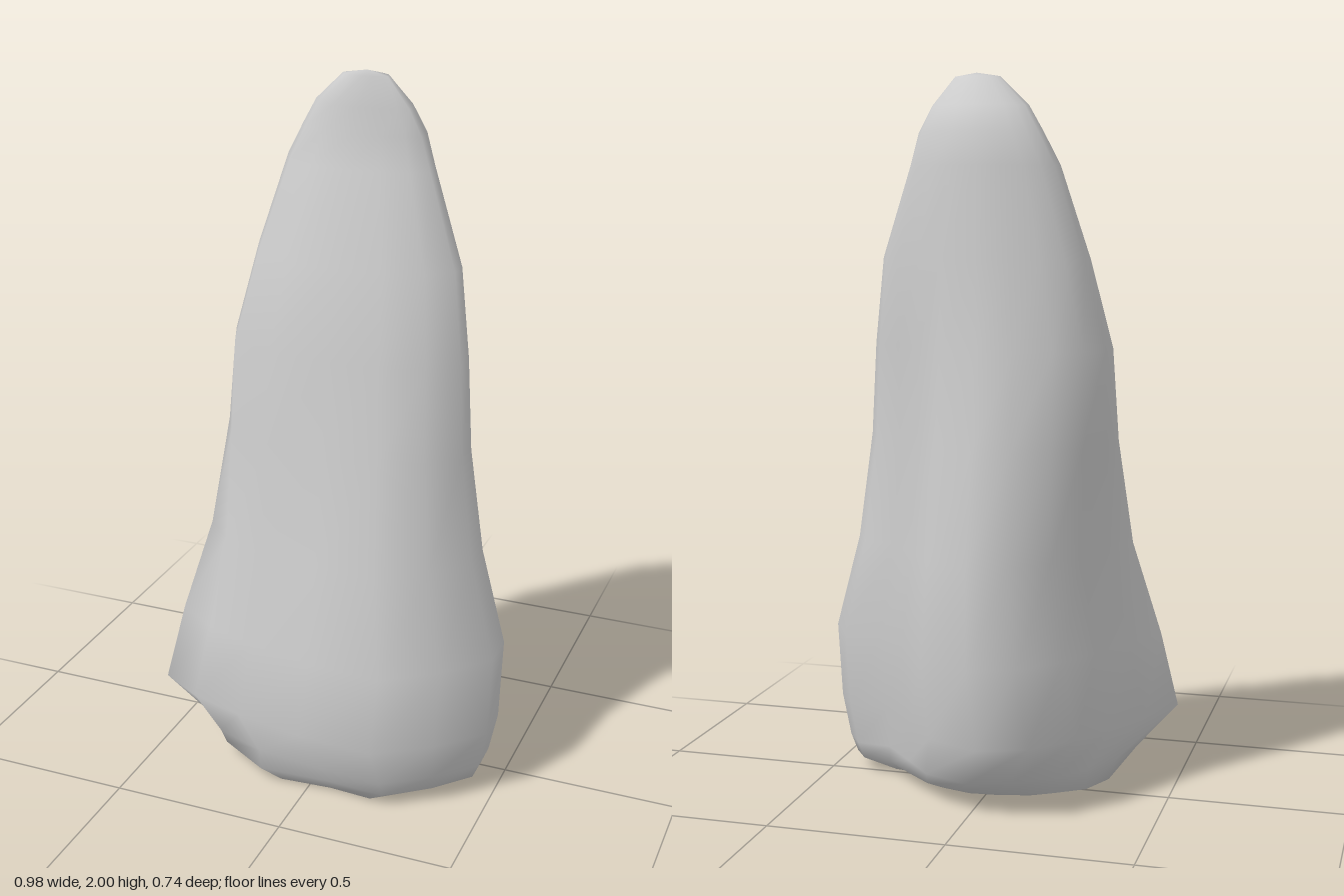
import * as THREE from 'three';

// Base outline: u = sideways fraction, w = fraction towards front (+) or back (-).
const OUTLINE = [
  [-1, 0], [-0.74, 0.47], [-0.41, 0.75], [0, 0.95], [0.45, 1], [0.76, 0.62],
  [1, 0.2], [1, -0.12], [0.88, -0.33], [0.64, -0.37], [0.42, -0.64], [0.23, -0.87],
  [-0.08, -1], [-0.35, -0.91], [-0.57, -0.7], [-0.71, -0.49], [-0.86, -0.26],
];

// Levels: y, xMin, xMax, zFront, zBack, z of the -x edge, z of the +x edge,
// fullness of the -x half, fullness of the +x half
const LEVELS = [
  [0.005, -0.21, 0.34, 0.29, -0.13, 0.07, 0.08, 2, 0.1],
  [0.04, -0.31, 0.44, 0.31, -0.21, 0.09, 0.08, 2, 0.1],
  [0.09, -0.38, 0.46, 0.33, -0.29, 0.16, 0.09, 0.6, 0],
  [0.21, -0.49, 0.485, 0.37, -0.36, 0.20, 0.10, 0, 0],
  [0.43, -0.445, 0.485, 0.345, -0.37, 0.16, 0.065, 0, 0],
  [0.70, -0.37, 0.41, 0.29, -0.35, 0.11, 0.05, 0.4, 0.05],
  [1.00, -0.34, 0.37, 0.22, -0.30, 0.04, 0.05, 1.1, 0.15],
  [1.26, -0.33, 0.355, 0.18, -0.26, 0.00, 0.04, 1.3, 0.35],
  [1.50, -0.275, 0.32, 0.13, -0.225, -0.04, 0.00, 1.2, 0.6],
  [1.75, -0.20, 0.235, 0.05, -0.20, -0.08, -0.02, 1, 0.8],
  [1.84, -0.15, 0.21, 0.035, -0.185, -0.07, -0.015, 1, 0.9],
  [1.91, -0.105, 0.175, 0.022, -0.14, -0.05, -0.01, 1, 1],
  [1.99, -0.015, 0.115, 0.014, -0.05, -0.015, -0.005, 1, 1],
];

// One cross-section, blending from the angular base outline to an ellipse (1) or beyond
function section([y, x0, x1, zf, zb, zl, zr, fullLeft, fullRight]) {
  return OUTLINE.map(([u, w]) => {
    const a = Math.atan2(w, u);
    const full = u < 0 ? fullLeft : fullRight;
    const s = THREE.MathUtils.lerp(u, Math.cos(a), full);
    const d = THREE.MathUtils.lerp(w, Math.sin(a), full);
    const edge = THREE.MathUtils.lerp(zl, zr, (s + 1) / 2);
    const z = edge + (d > 0 ? d * (zf - edge) : -d * (zb - edge));
    return [(x0 + x1) / 2 + s * (x1 - x0) / 2, y, z];
  });
}

// Closed loft through the cross-sections with a fan at each end
function loft(rings) {
  const n = rings[0].length, last = (rings.length - 1) * n;
  const points = rings.flat();
  const bottom = points.push([0.03, 0, 0.08]) - 1;
  const top = points.push([0.05, 2, -0.02]) - 1;
  const index = [];
  for (let i = 0; i < n; i++) {
    const j = (i + 1) % n;
    for (let r = 0; r < last; r += n) {
      index.push(r + i, r + j, r + n + j, r + i, r + n + j, r + n + i);
    }
    index.push(bottom, j, i, last + i, last + j, top);
  }
  const geometry = new THREE.BufferGeometry();
  geometry.setAttribute('position', new THREE.Float32BufferAttribute(points.flat(), 3));
  geometry.setIndex(index);
  geometry.computeVertexNormals();
  return geometry;
}

export function createModel() {
  const group = new THREE.Group();
  group.name = 'standingStone';
  const stone = new THREE.Mesh(
    loft(LEVELS.map(section)),
    new THREE.MeshStandardMaterial({ color: 0xcccccc }),
  );
  stone.name = 'stoneBody';
  group.add(stone);
  return group;
}
